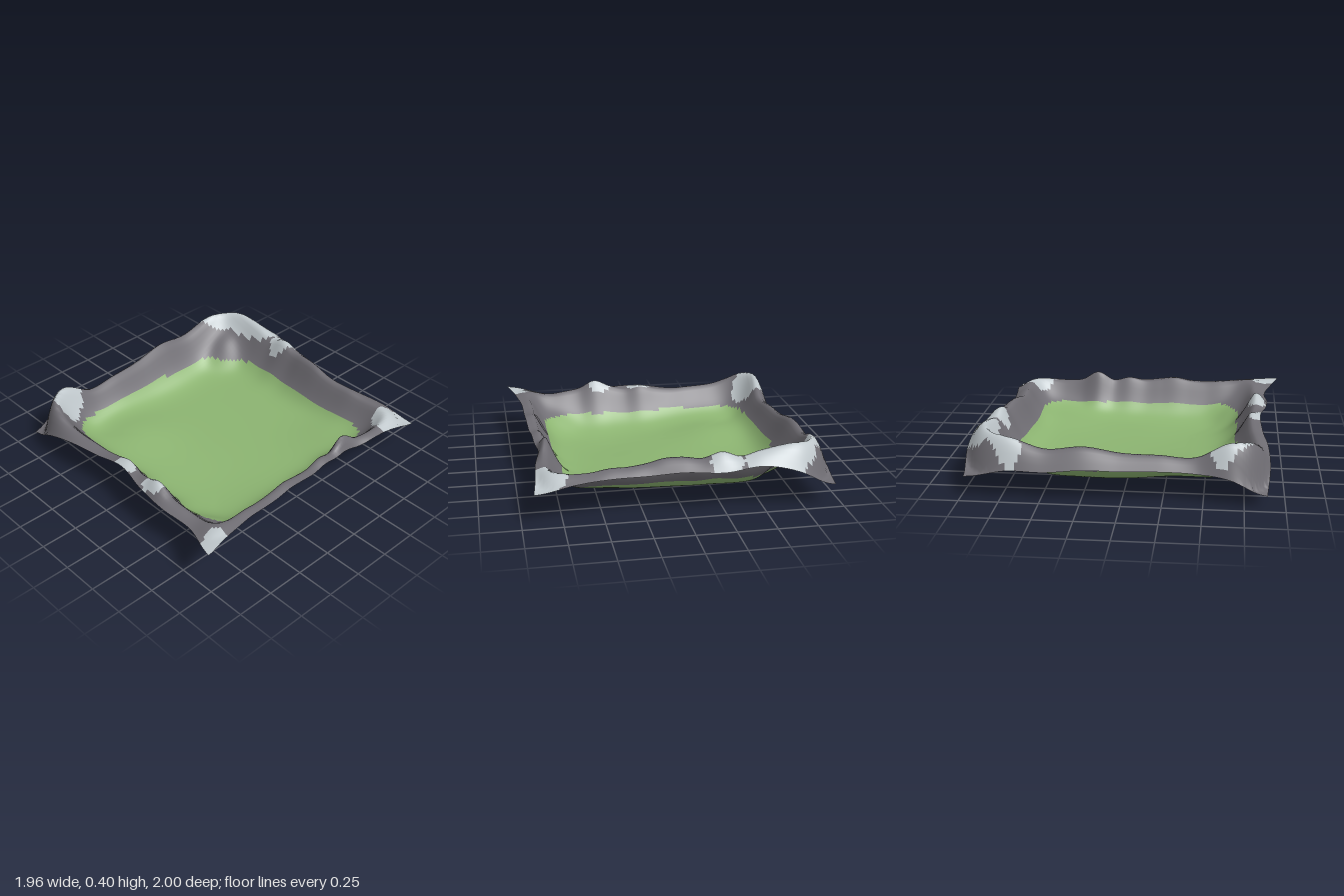
import * as THREE from 'three';

const N = 100; // grid cells per side

// Each side: mean half width, outline, edge height and crest height at even stations,
// the distance c from edge to crest, and the width s of the inner slope.
const sides = {
  back: {
    half: -0.95,
    out: [-0.975, -1.0, -0.995, -0.985, -0.94, -0.91, -0.92, -0.95, -0.965],
    edge: [0.14, 0.25, 0.3, 0.27, 0.27, 0.25, 0.25, 0.24, 0.2],
    crest: [0.36, 0.39, 0.405, 0.39, 0.365, 0.335, 0.37, 0.33, 0.34, 0.335, 0.305, 0.29, 0.29, 0.275, 0.275, 0.285, 0.3],
    c: 0.1, s: 0.1,
  },
  front: {
    half: 0.9,
    out: [0.89, 0.91, 0.9, 0.87, 0.855, 0.895, 0.91, 0.9, 1.0],
    edge: [0.07, 0.17, 0.23, 0.245, 0.285, 0.27, 0.25, 0.24, 0.28],
    crest: [0.33, 0.37, 0.32, 0.28, 0.265, 0.26, 0.255, 0.27, 0.3, 0.275, 0.3, 0.345, 0.29, 0.27, 0.255, 0.275, 0.31],
    c: 0.09, s: 0.14,
  },
  left: { // the -x side, back to front
    half: -0.95,
    out: [-0.95, -0.965, -0.975, -0.97, -0.945, -0.925, -0.915, -0.95, -0.93],
    edge: [0.14, 0.19, 0.19, 0.21, 0.2, 0.2, 0.19, 0.17, 0.07],
    crest: [0.36, 0.38, 0.31, 0.33, 0.29, 0.28, 0.27, 0.38, 0.33],
    c: 0.1, s: 0.11,
  },
  right: { // the +x side, back to front
    half: 0.9,
    out: [0.92, 0.905, 0.895, 0.885, 0.87, 0.85, 0.865, 0.875, 0.885, 0.89, 0.895, 0.895, 0.895, 0.9, 0.92, 0.945, 0.98],
    edge: [0.2, 0.23, 0.25, 0.25, 0.24, 0.25, 0.26, 0.28, 0.27, 0.28, 0.29, 0.27, 0.265, 0.27, 0.275, 0.28, 0.28],
    crest: [0.3, 0.28, 0.27, 0.265, 0.28, 0.345, 0.28, 0.3, 0.275, 0.285, 0.3, 0.28, 0.27, 0.28, 0.285, 0.3, 0.31],
    c: 0.07, s: 0.12,
  },
};

// Soft mounds and hollows of the floor: u, v, height, radius
const mounds = [
  [-0.72, -0.74, 0.13, 0.13], [0.72, 0.73, 0.06, 0.14], [-0.5, 0.42, 0.055, 0.32],
  [0.4, 0.36, -0.022, 0.35], [0.65, -0.62, 0.035, 0.3],
];

// Snow patches as capsules: x1, z1, x2, z2, radius
const snowPatches = [
  [-0.91, -0.68, -0.76, -0.85, 0.06], [-0.76, -0.87, -0.45, -0.93, 0.08],
  [-0.68, -0.94, -0.5, -0.94, 0.08], [-0.28, -0.91, -0.25, -0.92, 0.09],
  [0.82, -0.84, 0.88, -0.8, 0.12], [0.88, -0.92, 0.92, -0.97, 0.12],
  [-0.85, 0.62, -0.78, 0.72, 0.075], [-0.03, 0.83, 0.03, 0.83, 0.055],
  [0.27, 0.84, 0.33, 0.83, 0.055], [0.89, 0.86, 0.95, 0.97, 0.065],
];

// Smooth curve through a list of evenly spaced values, t in -1..1
function sample(list, t) {
  const f = (t + 1) / 2 * (list.length - 1);
  const i = Math.min(Math.floor(f), list.length - 2), k = f - i;
  const p1 = list[i], p2 = list[i + 1];
  const p0 = list[i - 1] ?? p1, p3 = list[i + 2] ?? p2;
  return p1 + 0.5 * k * (p2 - p0 + k * (2 * p0 - 5 * p1 + 4 * p2 - p3 + k * (3 * (p1 - p2) + p3 - p0)));
}

const mix = THREE.MathUtils.lerp;

// Floor rising gently to the back, with its mounds
function floorHeight(u, v) {
  let y = 0.02 + 0.06 * Math.min(v, 0) ** 2;
  for (const [mu, mv, h, r] of mounds) y += h * Math.exp(-((u - mu) ** 2 + (v - mv) ** 2) / (r * r));
  return y;
}

// Straight inside, wavy only towards the rim
const place = (side, t, along) => side.half * Math.abs(t) + (sample(side.out, along) - side.half) * t ** 4;

function surfacePoint(u, v) {
  const sx = u < 0 ? sides.left : sides.right;
  const sz = v < 0 ? sides.back : sides.front;
  const x = place(sx, u, v), z = place(sz, v, u);

  // Rounded-square distance from the edge, and how much each side counts
  const base = floorHeight(u, v);
  const qx = Math.max(Math.abs(u) - 0.4, 0), qz = Math.max(Math.abs(v) - 0.4, 0);
  const wx = qx ** 6, wz = qz ** 6;
  if (wx + wz === 0) return [x, base, z];
  const w = wz / (wx + wz);
  const d = Math.max(0.6 - Math.pow(wx + wz, 1 / 6), 0);
  const crest = mix(sample(sx.crest, v), sample(sz.crest, u), w);
  const edge = mix(sample(sx.edge, v), sample(sz.edge, u), w);
  const c = mix(sx.c, sz.c, w);

  // Lip curls down outside the crest; the wall eases into the floor inside it
  if (d < c) return [x, mix(edge, crest, Math.sin(d / c * Math.PI / 2)), z];
  const rise = Math.exp(-(((d - c) / mix(sx.s, sz.s, w)) ** 1.4));
  return [x, mix(base, crest, rise), z];
}

function onSnow(x, z) {
  return snowPatches.some(([x1, z1, x2, z2, r]) => {
    const dx = x2 - x1, dz = z2 - z1;
    const t = THREE.MathUtils.clamp(((x - x1) * dx + (z - z1) * dz) / (dx * dx + dz * dz), 0, 1);
    return Math.hypot(x - x1 - dx * t, z - z1 - dz * t) < r;
  });
}

export function createModel() {
  // Grid of points over the whole sheet
  const points = [];
  for (let j = 0; j <= N; j++) {
    for (let i = 0; i <= N; i++) points.push(surfacePoint(i / N * 2 - 1, j / N * 2 - 1));
  }
  const lowest = Math.min(...points.map((p) => p[1]));
  for (const p of points) p[1] -= lowest;

  // Sort the cells into meadow, rock and snow
  const cells = { meadow: [], rock: [], snow: [] };
  const all = [];
  for (let j = 0; j < N; j++) {
    for (let i = 0; i < N; i++) {
      const a = j * (N + 1) + i, b = a + 1, c = a + N + 1, d = c + 1;
      const mid = [0, 1, 2].map((k) => (points[a][k] + points[d][k]) / 2);
      const inside = Math.max(Math.abs(mid[0]), Math.abs(mid[2])) < 0.83;
      const kind = onSnow(mid[0], mid[2]) ? 'snow' : mid[1] < 0.135 && inside ? 'meadow' : 'rock';
      const faces = [a, c, b, b, c, d];
      cells[kind].push(...faces);
      all.push(...faces);
    }
  }

  // Shared points and normals keep the shading smooth across the colours
  const sheet = new THREE.BufferGeometry();
  sheet.setAttribute('position', new THREE.Float32BufferAttribute(points.flat(), 3));
  sheet.setIndex(all);
  sheet.computeVertexNormals();

  const colors = { meadow: 0x8cb471, rock: 0x6f6d73, snow: 0xc0c8cc };
  const group = new THREE.Group();
  group.name = 'terrain';
  for (const kind of Object.keys(cells)) {
    const geometry = new THREE.BufferGeometry();
    geometry.setAttribute('position', sheet.getAttribute('position'));
    geometry.setAttribute('normal', sheet.getAttribute('normal'));
    geometry.setIndex(cells[kind]);
    const material = new THREE.MeshStandardMaterial({ color: colors[kind], side: THREE.DoubleSide });
    const mesh = new THREE.Mesh(geometry, material);
    mesh.name = kind;
    group.add(mesh);
  }
  return group;
}
